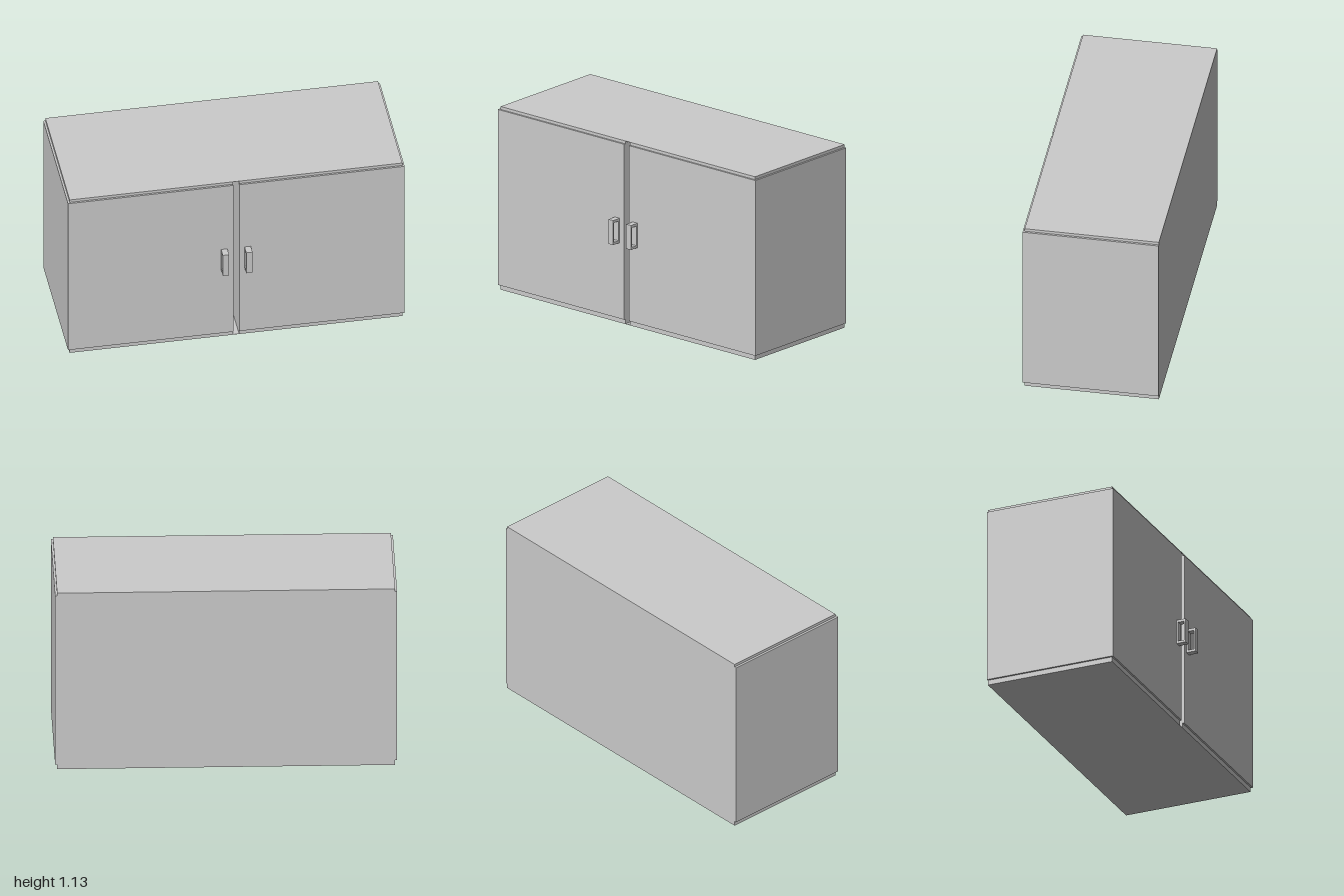
import * as THREE from 'three';

const material = new THREE.MeshStandardMaterial({ color: 0xcccccc, flatShading: true });

// Box given by its minimum and maximum corners
function box(name, [x0, y0, z0], [x1, y1, z1]) {
  const mesh = new THREE.Mesh(new THREE.BoxGeometry(x1 - x0, y1 - y0, z1 - z0), material);
  mesh.position.set((x0 + x1) / 2, (y0 + y1) / 2, (z0 + z1) / 2);
  mesh.name = name;
  return mesh;
}

const H = 1.128;       // cabinet height
const BACK = -0.432;
const FRONT = 0.364;   // front of the carcass
const DOOR = 0.375;    // front of the doors
const SLOT = 0.018;    // half width of the gap between the doors
const INNER = 0.988;   // half width of the carcass
const LOW = 0.03, HIGH = 1.11;

// Pull handle: rectangular loop in the z-y plane, extruded along x
function handle(name, x) {
  const width = 0.037;
  const shape = new THREE.Shape();
  shape.moveTo(0, 0.496).lineTo(0.058, 0.496).lineTo(0.058, 0.647).lineTo(0, 0.647).closePath();
  const hole = new THREE.Path();
  hole.moveTo(0.01, 0.511).lineTo(0.01, 0.631).lineTo(0.048, 0.631).lineTo(0.048, 0.511).closePath();
  shape.holes.push(hole);
  const geometry = new THREE.ExtrudeGeometry(shape, { depth: width, bevelEnabled: false });
  geometry.translate(0, 0, -width / 2).rotateY(-Math.PI / 2);
  const mesh = new THREE.Mesh(geometry, material);
  mesh.position.set(x, 0, DOOR);
  mesh.name = name;
  return mesh;
}

export function createModel() {
  const group = new THREE.Group();
  group.name = 'cabinet';

  for (const [side, s] of [['left', 1], ['right', -1]]) {
    const span = (a, b) => (s > 0 ? [a, b] : [-b, -a]);

    // Half of the carcass, beside the central slot
    const [c0, c1] = span(SLOT, INNER);
    group.add(box(side + 'Carcass', [c0, 0, BACK], [c1, H, FRONT]));

    // Thin outer side panel
    const [p0, p1] = span(INNER, 1);
    group.add(box(side + 'SidePanel', [p0, LOW, BACK], [p1, HIGH, FRONT]));

    // Door, covering the front edge of the side panel
    const [d0, d1] = span(SLOT, 1);
    group.add(box(side + 'Door', [d0, LOW, FRONT], [d1, HIGH, DOOR]));
  }

  // Thin sheets closing the slot above, below and behind
  group.add(box('slotTop', [-SLOT, H - 0.002, BACK], [SLOT, H, FRONT]));
  group.add(box('slotBottom', [-SLOT, 0, BACK], [SLOT, 0.002, FRONT]));
  group.add(box('slotBack', [-SLOT, 0.002, BACK], [SLOT, H - 0.002, BACK + 0.01]));

  group.add(handle('leftHandle', 0.067), handle('rightHandle', -0.072));
  return group;
}
